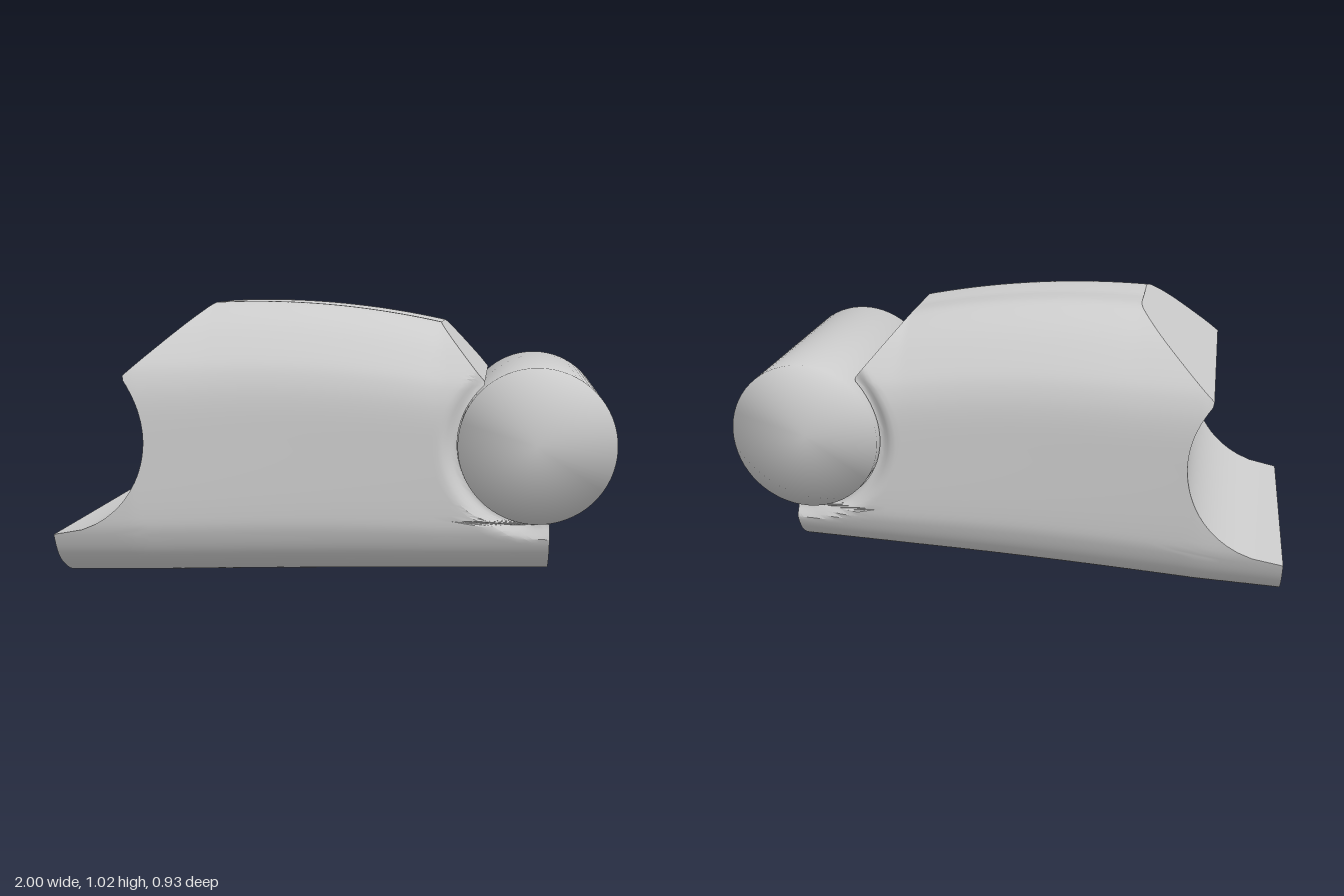
import * as THREE from 'three';
import { mergeVertices, toCreasedNormals } from 'three/addons/utils/BufferGeometryUtils.js';

const { clamp, smoothstep } = THREE.MathUtils;
const JOINT = { x: 0.725, y: 0.54, r: 0.272, half: 0.405 };

// Half cross-section from bottom centre to top centre: (share of half width, share of height)
const halfSection = new THREE.SplineCurve([
  [0, 0.002], [0.3, 0], [0.45, 0.001], [0.65, 0.025], [0.86, 0.09], [0.97, 0.18], [1, 0.27], [1, 0.5],
  [0.99, 0.65], [0.95, 0.74], [0.87, 0.81], [0.68, 0.91], [0.5, 0.97], [0.32, 1], [0, 0.995],
].map(([z, y]) => new THREE.Vector2(z, y)));

// Height and half width of the shell along its length
const bottomY = (x) => 0.003 + 0.035 * (x + 1);
const topY = (x) => 1.025 - 0.16 * (clamp(x, -0.46, 0.38) + 0.3) ** 2;
const heightAt = (x, v) => bottomY(x) + v * (topY(x) - bottomY(x));
const halfWidth = (x) => 0.41 + 0.055 * clamp((0.5 - x) / 1.2, 0, 1) ** 2;

// Socket end: lower lip, hollow arc, sloping upper plane
function socketEnd(y) {
  if (y < 0.195) return -1;
  if (y < 0.767) return -1 + Math.sqrt(Math.max(0, 0.345 ** 2 - (y - 0.54) ** 2));
  return -0.737 + (y - 0.767) * 1.09;
}

// Joint end: lower lip, seat around the joint, sloping upper plane
function jointEnd(y) {
  if (y < 0.266) return 0.775;
  if (y < 0.75) return JOINT.x - Math.sqrt(Math.max(0, 0.275 ** 2 - (y - JOINT.y) ** 2));
  return 0.548 - (y - 0.75) * 0.84;
}

// Find where a line along the shell meets an end outline
function meet(end, v, x) {
  for (let i = 0; i < 40; i++) x += 0.6 * (end(heightAt(x, v)) - x);
  return x;
}

function shellGeometry() {
  const K = 120, J = 44, ring = 2 * K;
  const half = halfSection.getSpacedPoints(K);
  const pos = [], index = [];
  const spans = half.map((p) => [meet(socketEnd, p.y, -0.7), meet(jointEnd, p.y, 0.5)]);
  for (let j = 0; j <= J; j++) {
    // rows gather toward both ends
    const t = 0.5 - 0.5 * Math.cos((Math.PI * j) / J);
    for (let i = 0; i < ring; i++) {
      const k = i <= K ? i : ring - i;
      const side = i <= K ? 1 : -1;
      const x = THREE.MathUtils.lerp(spans[k][0], spans[k][1], t);
      const y = heightAt(x, half[k].y);
      // rounded recess beside the joint
      const d = Math.hypot(x - JOINT.x, y - JOINT.y);
      const inset = 0.035 * (1 - smoothstep(d, 0.28, 0.335));
      pos.push(x, y, side * half[k].x * (halfWidth(x) - inset));
    }
  }
  for (let j = 0; j < J; j++) {
    for (let i = 0; i < ring; i++) {
      const n = (i + 1) % ring;
      const a = j * ring + i, b = j * ring + n, c = a + ring, d = b + ring;
      index.push(a, c, b, b, c, d);
    }
  }
  // end walls run straight across between mirrored edge points
  for (let i = 0; i < K; i++) {
    for (const [row, flip] of [[0, true], [J * ring, false]]) {
      const p = row + i, q = p + 1;
      const m = row + ((ring - i) % ring), n = row + ring - i - 1;
      if (flip) index.push(m, p, n, p, q, n);
      else index.push(m, n, p, p, n, q);
    }
  }
  const g = new THREE.BufferGeometry();
  g.setAttribute('position', new THREE.Float32BufferAttribute(pos, 3));
  g.setIndex(index);
  return toCreasedNormals(g, 0.6);
}

// Cross pin with shared rim vertices, so shading rolls over its ends
function jointGeometry() {
  const g = new THREE.CylinderGeometry(JOINT.r, JOINT.r, JOINT.half * 2, 64);
  g.deleteAttribute('normal');
  g.deleteAttribute('uv');
  const merged = mergeVertices(g, 1e-4);
  merged.computeVertexNormals();
  return merged.rotateX(Math.PI / 2).translate(JOINT.x, JOINT.y, 0);
}

export function createModel() {
  const model = new THREE.Group();
  model.name = 'fingerSegment';
  const material = new THREE.MeshStandardMaterial({ color: 0xcccccc });
  const add = (name, geometry) => {
    const mesh = new THREE.Mesh(geometry, material);
    mesh.name = name;
    model.add(mesh);
  };
  add('shell', shellGeometry());
  add('jointCylinder', jointGeometry());
  return model;
}
